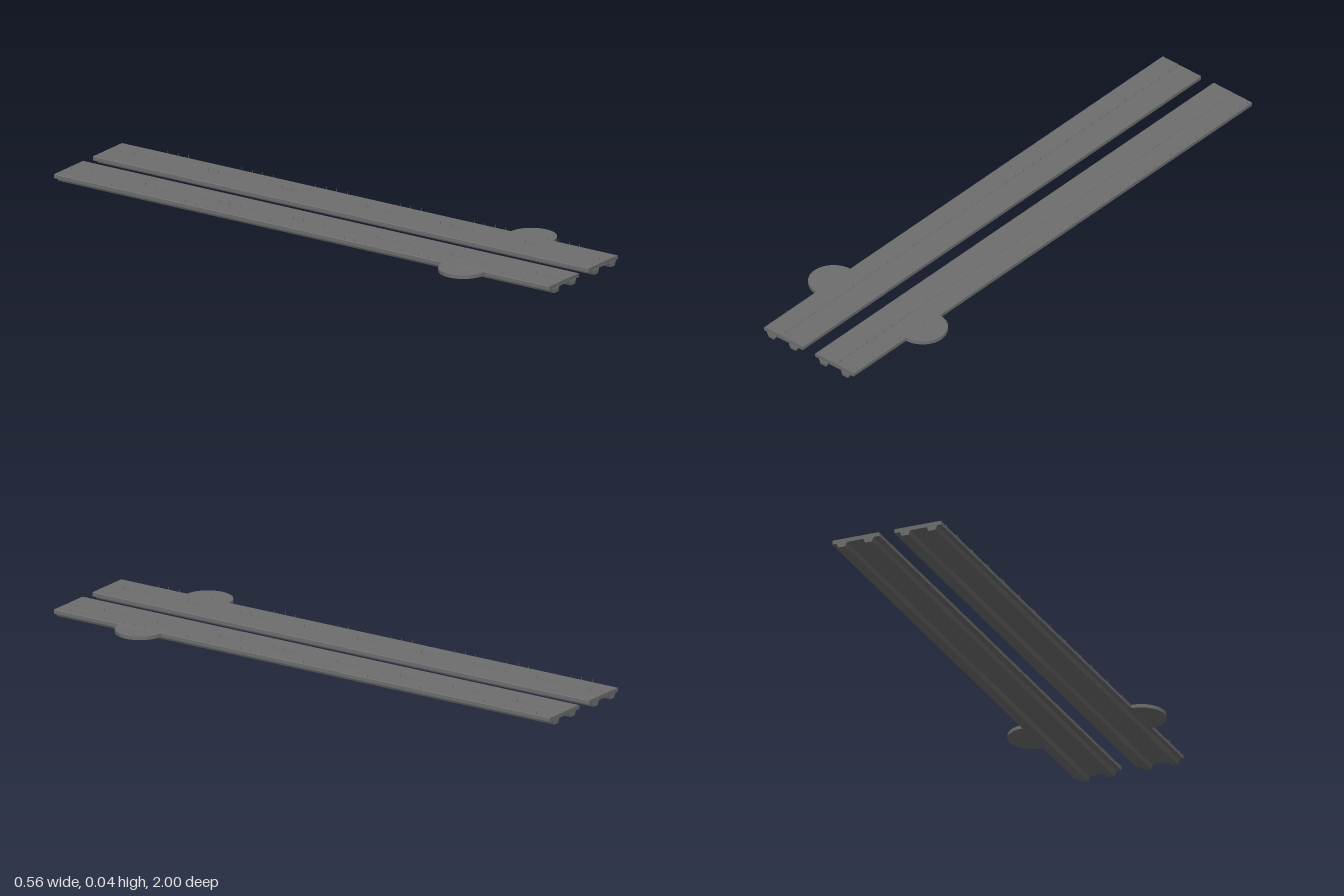
import * as THREE from 'three';

const material = new THREE.MeshStandardMaterial({ color: 0x6e6e6e, flatShading: true, side: THREE.DoubleSide });

// Extrudes an (x, y) outline from the back end (z = -1) to the given front z
function extrudeProfile(name, points, front) {
  const shape = new THREE.Shape(points.map(([x, y]) => new THREE.Vector2(x, y)));
  const geometry = new THREE.ExtrudeGeometry(shape, { depth: front + 1, bevelEnabled: false });
  geometry.translate(0, 0, -1);
  const mesh = new THREE.Mesh(geometry, material);
  mesh.name = name;
  return mesh;
}

function buildTrack(side) {
  const track = new THREE.Group();
  track.name = side > 0 ? 'leftTrack' : 'rightTrack';
  const inner = 0.027, outer = 0.196, seam = 0.12;
  const bottom = 0.015, top = 0.029;

  // Deck with chamfered edges and a fine seam along the middle
  track.add(extrudeProfile('deck', [
    [inner, bottom], [outer, bottom], [outer, top - 0.002], [outer - 0.003, top],
    [seam + 0.001, top], [seam + 0.001, top - 0.001], [seam - 0.001, top - 0.001], [seam - 0.001, top],
    [inner + 0.003, top], [inner, top - 0.002],
  ].map(([x, y]) => [x * side, y]), 0.997));

  // Tapered runners beneath the deck, reaching just past its front end
  for (const x of [0.066, 0.162]) {
    track.add(extrudeProfile('runner', [
      [x - 0.012, 0], [x + 0.012, 0], [x + 0.019, bottom], [x - 0.019, bottom],
    ].map(([px, y]) => [px * side, y]), 1));
  }

  // Round side platform
  const platform = new THREE.Mesh(new THREE.CylinderGeometry(0.084, 0.084, 0.0125, 40), material);
  platform.name = 'sidePlatform';
  platform.position.set(0.195 * side, 0.0215, 0.65);
  track.add(platform);

  // Rows of hair-thin pins along the seam and the outer edge
  const pinGeometry = new THREE.BoxGeometry(0.0006, 0.013, 0.0006);
  const pins = new THREE.Group();
  pins.name = 'pins';
  for (const x of [seam, 0.191]) {
    for (let i = 0; i < 47; i++) {
      const pin = new THREE.Mesh(pinGeometry, material);
      pin.name = 'pin';
      pin.position.set(x * side, 0.0335, 0.975 - i * 0.0426);
      pins.add(pin);
    }
  }
  track.add(pins);
  return track;
}

export function createModel() {
  const model = new THREE.Group();
  model.name = 'twinTracks';
  for (const side of [-1, 1]) model.add(buildTrack(side));
  return model;
}
